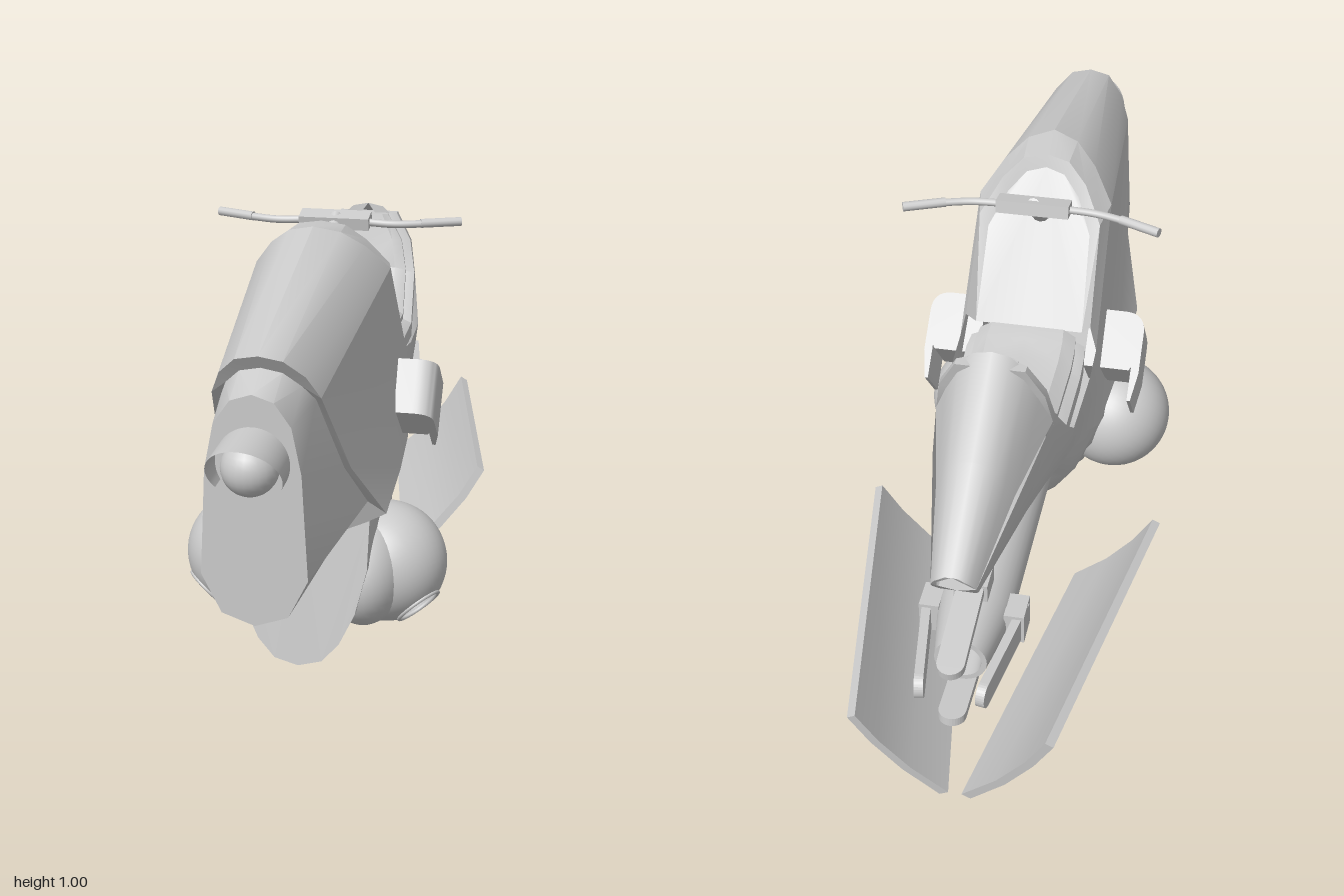
import * as THREE from 'three';
import { toCreasedNormals } from 'three/addons/utils/BufferGeometryUtils.js';

const material = new THREE.MeshStandardMaterial({ color: 0xcccccc, side: THREE.DoubleSide });

function add(parent, name, geometry, x = 0, y = 0, z = 0) {
  const mesh = new THREE.Mesh(geometry, material);
  mesh.name = name;
  mesh.position.set(x, y, z);
  parent.add(mesh);
  return mesh;
}

// Lofts half cross-sections into a surface and mirrors it across x = 0; caps close the first or last section.
function skin(parent, name, rows, capFirst = false, capLast = false, crease = 0.6) {
  const pos = [];
  const tri = (s, ...pts) => {
    if (s < 0) pts.reverse();
    for (const p of pts) pos.push(p[0] * s, p[1], p[2]);
  };
  const quad = (s, a, b, c, d) => { tri(s, a, b, c); tri(s, a, c, d); };
  const cap = (s, r) => {
    const n = r.length;
    for (let j = 0; j < n - 2 - j; j++) quad(s, r[j], r[n - 1 - j], r[n - 2 - j], r[j + 1]);
  };
  for (const s of [1, -1]) {
    for (let i = 0; i < rows.length - 1; i++)
      for (let j = 0; j < rows[i].length - 1; j++)
        quad(s, rows[i][j], rows[i][j + 1], rows[i + 1][j + 1], rows[i + 1][j]);
    if (capFirst) cap(s, rows[0]);
    if (capLast) cap(s, rows[rows.length - 1]);
  }
  const g = new THREE.BufferGeometry();
  g.setAttribute('position', new THREE.Float32BufferAttribute(pos, 3));
  return add(parent, name, toCreasedNormals(g, crease));
}

// Runs a builder for the left side and again, reflected, for the right.
function bothSides(parent, name, build) {
  for (const [side, s] of [['left', 1], ['right', -1]]) {
    const g = new THREE.Group();
    g.name = side + name;
    g.scale.x = s;
    build(g);
    parent.add(g);
  }
}

function buildHull(root) {
  const rim = [[0, .875, .8], [.05, .865, .795], [.09, .825, .765], [.115, .77, .73],
    [.145, .55, .55], [.2, .385, .4], [.155, .36, .4], [0, .36, .4]];
  const noseBack = [[0, .845, .78], [.045, .835, .775], [.08, .8, .75], [.1, .76, .71],
    [.13, .55, .55], [.16, .42, .42], [.1, .335, .4], [0, .305, .4]];
  const noseFront = [[0, .815], [.045, .8], [.08, .75], [.1, .65], [.105, .55], [.112, .42], [.07, .335], [0, .31]]
    .map(([x, y]) => [x, y, .86]);
  skin(root, 'nose', [noseFront, noseBack], true);
  skin(root, 'hullFrontLip', [noseBack, rim], false, false, 0.3);

  // Rounded hood and the lip round the instrument panel
  const crown = [[0, 1.005, .24], [.06, .99, .22], [.11, .95, .18], [.16, .885, .12]];
  skin(root, 'hood', [rim.slice(0, 4), crown]);
  const lip = [[0, .995, .14], [.055, .985, .13], [.1, .945, .1], [.145, .875, .04], [.15, .685, -.11]];
  const inner = [[0, .965, .13], [.045, .955, .12], [.085, .915, .09], [.122, .85, .03], [.128, .66, -.1]];
  skin(root, 'cockpitLip', [[...crown, [.165, .62, -.11]], lip, inner], false, false, 0.45);
  skin(root, 'instrumentPanel', [[...inner, [0, .66, -.1]]], true);

  // Side panels from nose to tail, with the flare along the lower edge
  const station = (z, top, mid, flare, under) =>
    [top, mid, flare, under, [0, under[1], under[2] ?? z]].map(([x, y, pz = z]) => [x, y, pz]);
  skin(root, 'sidePanels', [
    rim.slice(3),
    station(.12, [.16, .885], [.17, .6], [.19, .385], [.155, .36]),
    station(-.1, [.165, .62, -.11], [.172, .5], [.175, .385], [.15, .365]),
    station(-.2, [.165, .605], [.165, .52], [.155, .44], [.13, .43]),
    station(-.38, [.158, .6], [.152, .55], [.135, .5], [.12, .495]),
    station(-.49, [.13, .71, -.5], [.138, .6], [.115, .525], [.1, .52]),
    station(-.62, [.11, .685], [.108, .61], [.095, .55], [.085, .545]),
    station(-.88, [.048, .59, -.915], [.05, .57, -.9], [.045, .55], [.04, .545]),
  ], false, true, 0.4);
  skin(root, 'tailCowl', [
    [[0, .89, -.51], [.04, .882, -.51], [.075, .85, -.508], [.105, .785, -.505], [.13, .71, -.5]],
    [[0, .76, -.72], [.028, .755, -.72], [.05, .735, -.72], [.068, .7, -.72], [.085, .66, -.7]],
    [[0, .63, -.93], [.015, .628, -.93], [.028, .62, -.93], [.038, .61, -.925], [.048, .59, -.915]],
  ], true, true);

  // Shield-shaped lower cowl sweeping back round the engine
  const shield = [[0, 1], [1, 1], [.98, .65], [.82, .36], [.6, .16], [.35, .04], [0, 0]];
  const cowl = [[.42, .16, 0, .37], [.14, .168, 0, .37], [0, .158, .135, .375], [-.1, .145, .155, .38],
    [-.17, .13, .19, .41], [-.24, .112, .29, .43], [-.275, .1, .37, .44]];
  skin(root, 'lowerCowl', cowl.map(([z, w, y0, y1], i) =>
    shield.map(([x, t]) => [x * w, y0 + (y1 - y0) * t, i ? z : .44 - .05 * t])), true, true);
}

function buildSeat(root) {
  // Each station: z, y, upward normal (z, y), half width
  const path = [[-.11, .67, 0, 1, .115], [-.15, .662, 0, 1, .12], [-.2, .645, 0, 1, .12], [-.37, .645, .25, 1, .118],
    [-.455, .73, .9, .4, .11], [-.475, .8, 1, .1, .095], [-.49, .865, 1, 0, .055]];
  for (const [name, extra, drop] of [['seatCushion', 0, 0], ['seatRail', .022, .025]])
    skin(root, name, path.map(([z, y, nz, ny, w]) => {
      const at = (x, d) => [x, y - ny * (d + drop), z - nz * (d + drop) * .55];
      return [at(0, 0), at((w + extra) * .75, 0), at(w + extra, .018), at(w + extra, .055), at(0, .055)];
    }), true, true, 0.5);
}

function buildHandlebar(root) {
  const bar = new THREE.Group();
  bar.name = 'handlebar';
  root.add(bar);
  add(bar, 'stem', new THREE.CylinderGeometry(.016, .025, .13, 12), 0, .925, .01).rotation.x = -.9;
  add(bar, 'clamp', new THREE.BoxGeometry(.17, .03, .05), 0, .957, -.033).rotation.x = .2;
  bothSides(bar, 'Grip', g => {
    const curve = new THREE.CatmullRomCurve3([[.07, .955, -.03], [.14, .952, -.03], [.2, .952, -.045], [.298, .953, -.085]]
      .map(p => new THREE.Vector3(...p)));
    add(g, 'bar', new THREE.TubeGeometry(curve, 16, .009, 10));
    const end = add(g, 'gripEnd', new THREE.CylinderGeometry(.011, .011, .1, 12), .252, .953, -.066);
    end.rotation.set(0, .39, Math.PI / 2);
  });
}

function buildHeadlight(root) {
  add(root, 'headlight', new THREE.SphereGeometry(.06, 24, 16), 0, .67, .88);
  // Hood reaches furthest forward at the top
  const hood = new THREE.CylinderGeometry(.077, .077, 1, 32, 4, true, Math.PI - 2.1, 4.2).rotateX(Math.PI / 2);
  const p = hood.attributes.position;
  for (let i = 0; i < p.count; i++) {
    const k = (p.getY(i) / .077 + 1) / 2;
    p.setZ(i, .84 + (p.getZ(i) + .5) * (.03 + .13 * k));
  }
  hood.computeVertexNormals();
  add(root, 'headlightHood', hood, 0, .67, 0);
}

function buildPod(g) {
  add(g, 'podFairing', new THREE.SphereGeometry(1, 32, 20), .13, .18, .27).scale.set(.1, .13, .14);
  const pod = new THREE.Group();
  pod.name = 'pod';
  pod.position.set(.172, .182, .21);
  pod.quaternion.setFromUnitVectors(new THREE.Vector3(0, 1, 0), new THREE.Vector3(.6, -.62, .36).normalize());
  g.add(pod);
  const r = .146, a = .4, mouth = r * Math.sin(a), h = r * Math.cos(a);
  add(pod, 'podShell', new THREE.SphereGeometry(r, 40, 24, 0, Math.PI * 2, a, Math.PI - a));
  add(pod, 'intakeRing', new THREE.TorusGeometry(mouth, .005, 8, 32).rotateX(Math.PI / 2), 0, h, 0);
  add(pod, 'intakeWell', new THREE.CylinderGeometry(mouth, mouth * .8, .05, 32, 1, true), 0, h - .025, 0);
  add(pod, 'intakeFloor', new THREE.CylinderGeometry(mouth * .8, mouth * .8, .005, 32), 0, h - .05, 0);
  add(pod, 'intakeHub', new THREE.ConeGeometry(.016, .045, 16), 0, h - .027, 0);
  for (let i = 0; i < 8; i++) {
    const blade = add(pod, 'intakeBlade', new THREE.BoxGeometry(.04, .02, .004).translate(.028, 0, 0), 0, h - .03, 0);
    blade.rotation.y = i * Math.PI / 4;
  }
}

function buildDuct(g) {
  // Rounded duct with a thin outer plate carried on past its open back
  const depth = .14, x0 = .13, x1 = .265;
  const block = new THREE.Shape();
  block.moveTo(x0, 0);
  block.lineTo(x1 - .05, 0);
  block.quadraticCurveTo(x1, 0, x1, .05);
  block.lineTo(x1, .1);
  block.lineTo(x1 - .025, .145);
  block.lineTo(x0, .145);
  const plate = new THREE.Shape([[x1 - .018, .08], [x1, .06], [x1, .15], [x1 - .012, .22], [x1 - .02, .22], [x1 - .02, .15]]
    .map(p => new THREE.Vector2(...p)));
  const duct = new THREE.Group();
  duct.name = 'duct';
  const basis = new THREE.Matrix4().makeBasis(new THREE.Vector3(1, 0, 0),
    new THREE.Vector3(0, -.64, -.768), new THREE.Vector3(0, .768, -.64));
  duct.quaternion.setFromRotationMatrix(basis);
  duct.position.set(0, .53, .125);
  g.add(duct);
  for (const [name, shape] of [['ductBody', block], ['ductPlate', plate]])
    add(duct, name, toCreasedNormals(new THREE.ExtrudeGeometry(shape, { depth, bevelEnabled: false, curveSegments: 8 }), .6));
}

function buildEngine(root) {
  const y = .337;
  const tube = [[0, -.05], [.083, -.05], [.083, -.74], [.058, -.88], [.046, -.88], [.04, -.8], [0, -.8]]
    .map(([r, z]) => new THREE.Vector2(r, z));
  add(root, 'exhaustTube', toCreasedNormals(new THREE.LatheGeometry(tube, 32).rotateX(Math.PI / 2), .5), 0, y, 0);
  for (const z of [-.365, -.505, -.65])
    add(root, 'strut', new THREE.BoxGeometry(.05, .17, .06), 0, .475, z);

  // Four prongs spaced round the exhaust, leaning in toward the rear
  const outline = new THREE.Shape();
  outline.moveTo(-.03, 0);
  outline.lineTo(.03, 0);
  outline.lineTo(.03, .25);
  outline.absarc(0, .25, .03, 0, Math.PI);
  const blade = new THREE.ExtrudeGeometry(outline, { depth: .02, bevelEnabled: false, curveSegments: 8 })
    .translate(0, 0, -.01).rotateX(-Math.PI / 2);
  for (let i = 0; i < 4; i++) {
    const prong = new THREE.Group();
    prong.name = 'exhaustProng';
    prong.position.y = y;
    prong.rotation.z = i * Math.PI / 2;
    root.add(prong);
    add(prong, 'prongBlade', blade, 0, i === 2 ? .09 : .11, -.715).rotation.x = i === 2 ? -.07 : -.16;
    add(prong, 'prongBlock', new THREE.BoxGeometry(.075, .045, .07), 0, .095, -.735);
  }

  // Bowed lower fins, splayed toward the front
  const section = [[0, 0], [.08, .075], [.145, .16], [.19, .24], [.172, .25], [.125, .168], [.06, .085], [-.02, .012], [0, 0]];
  const fin = (x, z) => section.map(([dx, dy]) => [x + dx, dy, z - dy * .1]);
  skin(root, 'lowerFins', [fin(.165, -.245), fin(.035, -.975)], true, true, 0.5);
}

export function createModel() {
  const root = new THREE.Group();
  root.name = 'hoverBike';
  buildHull(root);
  buildSeat(root);
  buildHandlebar(root);
  buildHeadlight(root);
  buildEngine(root);
  bothSides(root, 'EnginePod', buildPod);
  bothSides(root, 'SideDuct', buildDuct);
  return root;
}
